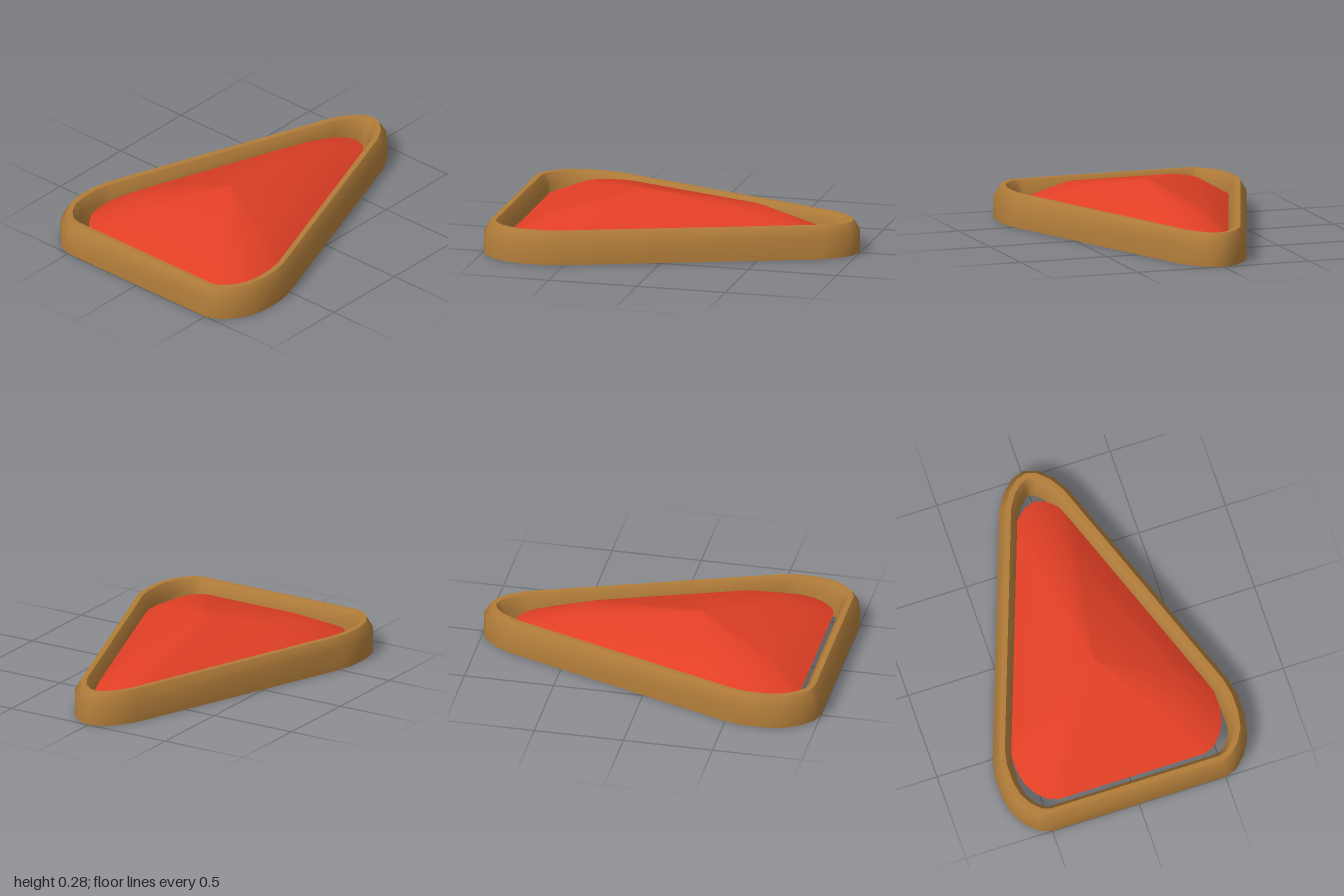
import * as THREE from 'three';
import { mergeGeometries } from 'three/addons/utils/BufferGeometryUtils.js';

// Half of the rounded triangular outline as [x, z], from the tip to the blunt end
const HALF = [
  [0.975, 0.075], [0.91, 0.145], [0.82, 0.2],
  [-0.51, 0.68], [-0.61, 0.7], [-0.73, 0.7], [-0.83, 0.68],
  [-0.91, 0.635], [-0.975, 0.57], [-1, 0.5],
];
const OUTLINE = [[1, 0], ...HALF, ...HALF.map(([x, z]) => [x, -z]).reverse()];

// Outline moved inward by an even distance, at height y
function inset(d, y) {
  const n = OUTLINE.length;
  const inward = (p, q) => new THREE.Vector2(p[1] - q[1], q[0] - p[0]).normalize();
  return OUTLINE.map((p, i) => {
    const a = inward(OUTLINE[(i + n - 1) % n], p);
    const b = inward(p, OUTLINE[(i + 1) % n]);
    const k = d / (1 + a.dot(b));
    return [p[0] + (a.x + b.x) * k, y, p[1] + (a.y + b.y) * k];
  });
}

// Smooth skin through closed loops that have equal point counts
function loft(loops) {
  const n = loops[0].length;
  const index = [];
  for (let r = 0; r < loops.length - 1; r++) {
    for (let i = 0; i < n; i++) {
      const a = r * n + i, a2 = r * n + (i + 1) % n;
      index.push(a, a + n, a2, a2, a + n, a2 + n);
    }
  }
  const g = new THREE.BufferGeometry();
  g.setAttribute('position', new THREE.Float32BufferAttribute(loops.flat(2), 3));
  g.setIndex(index);
  g.computeVertexNormals();
  return g;
}

export function createModel() {
  const crust = new THREE.MeshStandardMaterial({ color: 0xb27d3a, side: THREE.DoubleSide });
  crust.name = 'golden brown';
  const red = new THREE.MeshStandardMaterial({ color: 0xe03f25, side: THREE.DoubleSide });
  red.name = 'red';

  const group = new THREE.Group();
  group.name = 'triangularTray';

  // Rim: hollow shell, open below, bevelled on both upper edges
  const outer = loft([inset(0, 0), inset(0, 0.12), inset(0.035, 0.18)]);
  const top = loft([inset(0.035, 0.18), inset(0.065, 0.18)]);
  const inner = loft([inset(0.065, 0.18), inset(0.1, 0.12), inset(0.1, 0)]);
  const rim = new THREE.Mesh(mergeGeometries([outer, top, inner]), crust);
  rim.name = 'rim';

  // Filling: shallow dome made of a skirt, a shoulder and an off-centre peak
  const peakX = -0.22;
  const edge = OUTLINE.map(([x, z]) => [x * 0.845 - 0.025, 0.1, z * 0.838]);
  const ring = (s, y) => edge.map(([x, , z]) => [peakX + (x - peakX) * s, y, z * s]);
  const filling = new THREE.Mesh(loft([edge, ring(0.67, 0.21), ring(0.001, 0.28)]), red);
  filling.name = 'filling';

  group.add(rim, filling);
  return group;
}
